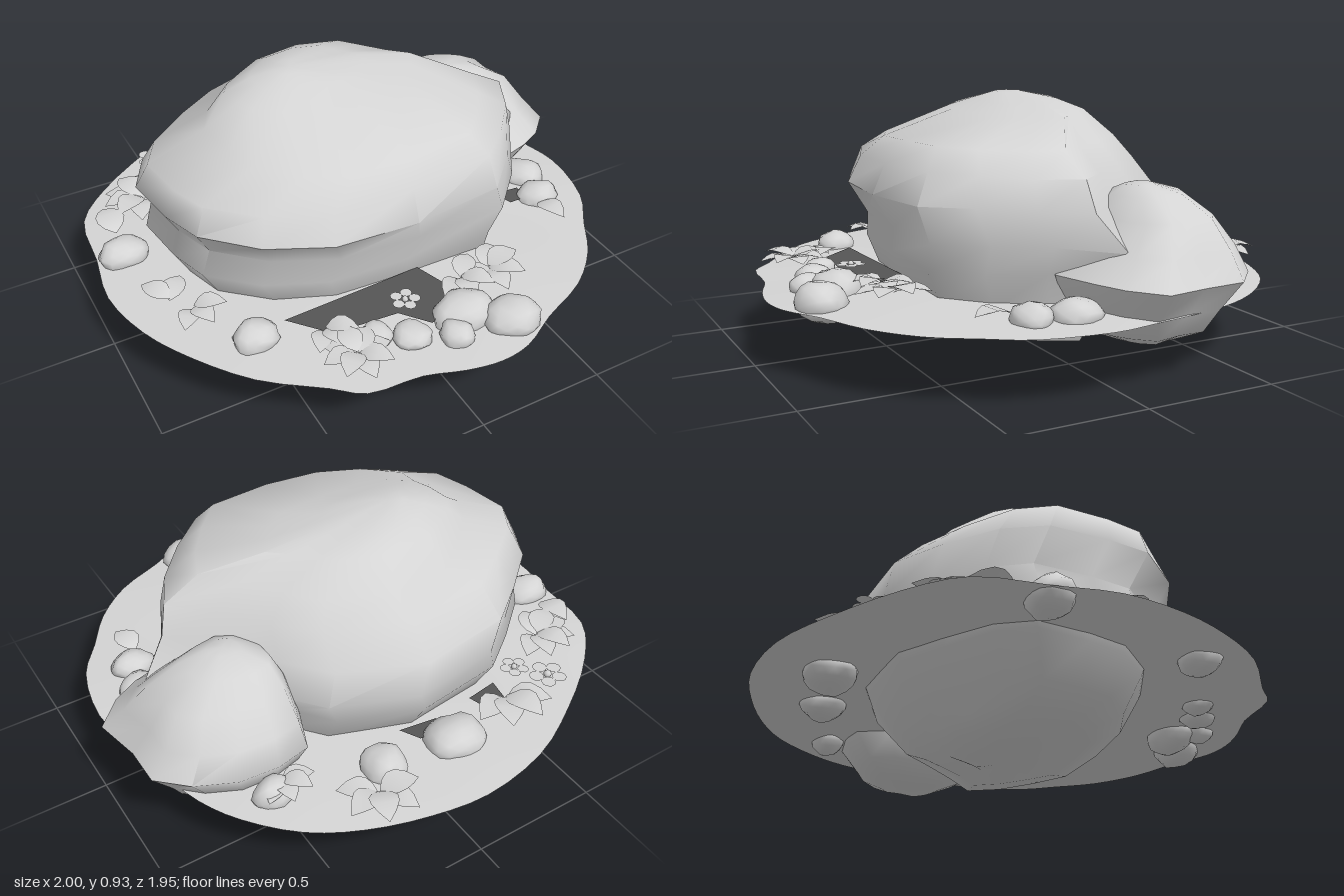
import * as THREE from 'three';
import { mergeVertices, toCreasedNormals } from 'three/addons/utils/BufferGeometryUtils.js';

const stone = new THREE.MeshStandardMaterial({ color: 0xd4d4d4, name: 'pale stone' });
const sheet = new THREE.MeshStandardMaterial({ color: 0xd4d4d4, name: 'pale sheet', side: THREE.DoubleSide });
const soil = new THREE.MeshStandardMaterial({ color: 0x555555, name: 'dark soil', side: THREE.DoubleSide });

// Repeatable unevenness from a position
const bump = (x, y, z) => Math.sin(x * 5.1 + y * 7.3 + 1) * Math.cos(z * 6.2 - y * 4.1);

// Closed curve through plan points
function smoothOutline(points, count) {
  const curve = new THREE.CatmullRomCurve3(points.map(([x, z]) => new THREE.Vector3(x, 0, z)), true);
  return curve.getPoints(count).slice(0, -1).map(p => [p.x, p.z]);
}

// Stack a plan outline through levels of [y, xMin, xMax, zMin, zMax]; shape adjusts single points
function loft(outline, levels, { rough, crease, bottom = true, shape = p => p }) {
  const box = new THREE.Box2().setFromPoints(outline.map(p => new THREE.Vector2(...p)));
  const n = outline.length, pos = [], idx = [];
  for (const [y, x0, x1, z0, z1] of levels) {
    for (const [px, pz] of outline) {
      const u = (px - box.min.x) / (box.max.x - box.min.x);
      const v = (pz - box.min.y) / (box.max.y - box.min.y);
      const x = x0 + u * (x1 - x0), z = z0 + v * (z1 - z0);
      pos.push(...shape([x, y + rough * bump(x, y, z), z]));
    }
  }
  for (let i = 0; i < levels.length - 1; i++) {
    for (let j = 0; j < n; j++) {
      const a = i * n + j, b = i * n + (j + 1) % n;
      idx.push(a, a + n, b, b, a + n, b + n);
    }
  }
  const cap = (row, up) => {
    const [y, x0, x1, z0, z1] = levels[row], c = pos.length / 3;
    pos.push((x0 + x1) / 2, y, (z0 + z1) / 2);
    for (let j = 0; j < n; j++) {
      const a = row * n + j, b = row * n + (j + 1) % n;
      idx.push(c, up ? b : a, up ? a : b);
    }
  };
  if (bottom) cap(0, false);
  cap(levels.length - 1, true);
  const g = new THREE.BufferGeometry();
  g.setAttribute('position', new THREE.Float32BufferAttribute(pos, 3));
  g.setIndex(idx);
  return toCreasedNormals(g, crease);
}

// Rounded, slightly lumpy pebble of unit size
function pebbleGeometry(seed) {
  let g = new THREE.IcosahedronGeometry(1, 2);
  g.deleteAttribute('normal');
  g.deleteAttribute('uv');
  g = mergeVertices(g);
  const p = g.attributes.position, v = new THREE.Vector3();
  for (let i = 0; i < p.count; i++) {
    v.fromBufferAttribute(p, i);
    v.multiplyScalar(1 + 0.1 * bump(v.x * 0.6 + seed, v.y * 0.6, v.z * 0.6 + seed));
    p.setXYZ(i, v.x, v.y, v.z);
  }
  g.computeVertexNormals();
  return g;
}

// Pointed leaf lying flat, growing toward +x, folded along its midrib
function leafGeometry() {
  const s = new THREE.Shape();
  s.moveTo(0, 0);
  s.bezierCurveTo(0.25, 0.5, 0.6, 0.42, 1, 0);
  s.bezierCurveTo(0.6, -0.42, 0.25, -0.5, 0, 0);
  const g = new THREE.ShapeGeometry(s, 5).rotateX(-Math.PI / 2);
  const p = g.attributes.position;
  for (let i = 0; i < p.count; i++) p.setY(i, Math.abs(p.getZ(i)) * 0.2 + 0.12 * Math.sin(p.getX(i) * 3));
  g.computeVertexNormals();
  return g;
}

// Main boulder: fuller at the front left foot, with a short spur on the left
function shapeBoulder([x, y, z]) {
  const spur = x > 0.69 && y > 0.42 && y < 0.52;
  const foot = x > 0.25 && z > 0.15 && y > 0.2 && y < 0.52;
  if (spur) return [x + 0.08, y, z - 0.02];
  return foot ? [x * 1.04, y, z * 1.08] : [x, y, z];
}

export function createModel() {
  const model = new THREE.Group();
  const add = (name, geometry, material, parent = model) => {
    const m = new THREE.Mesh(geometry, material);
    m.name = name;
    parent.add(m);
    return m;
  };

  add('mainBoulder', loft([
    [-0.8, -0.15], [-0.72, -0.3], [-0.55, -0.45], [-0.38, -0.58], [-0.02, -0.63], [0.3, -0.51], [0.43, -0.34],
    [0.57, -0.15], [0.71, 0.01], [0.63, 0.19], [0.5, 0.36], [0.35, 0.51], [0, 0.54], [-0.32, 0.52],
    [-0.55, 0.42], [-0.72, 0.25], [-0.77, 0.08]], [
    [0.005, -0.16, 0, -0.2, -0.08], [0.03, -0.36, 0.1, -0.28, 0.08], [0.075, -0.48, 0.38, -0.35, 0.25],
    [0.13, -0.59, 0.6, -0.41, 0.37], [0.25, -0.7, 0.67, -0.55, 0.43], [0.37, -0.77, 0.68, -0.61, 0.47],
    [0.47, -0.74, 0.73, -0.63, 0.48], [0.59, -0.8, 0.7, -0.61, 0.54], [0.7, -0.76, 0.67, -0.5, 0.49],
    [0.78, -0.54, 0.53, -0.43, 0.43], [0.87, -0.43, 0.32, -0.33, 0.13], [0.905, -0.33, 0.12, -0.26, 0.03],
    [0.93, -0.24, -0.12, -0.16, -0.06]], { rough: 0.01, crease: 0.9, shape: shapeBoulder }), stone);

  // Smaller boulder at the back left
  add('sideBoulder', loft([
    [0.38, -0.4], [0.44, -0.55], [0.57, -0.58], [0.72, -0.57], [0.86, -0.5], [0.96, -0.4], [0.96, -0.25],
    [1, -0.08], [0.9, 0.02], [0.8, 0.07], [0.62, 0.12], [0.45, 0.04], [0.38, -0.2]], [
    [0.13, 0.56, 0.78, -0.36, -0.1], [0.17, 0.45, 0.86, -0.45, 0], [0.26, 0.4, 0.91, -0.52, 0.08],
    [0.37, 0.38, 1, -0.58, 0.13], [0.46, 0.4, 0.93, -0.54, 0.04], [0.56, 0.42, 0.86, -0.46, -0.06],
    [0.63, 0.45, 0.74, -0.38, -0.12], [0.66, 0.53, 0.64, -0.28, -0.18]], { rough: 0.012, crease: 1.1 }), stone);

  // Thin ground sheet with a gently raised middle
  const rim = smoothOutline([
    [-0.02, -0.98], [0.2, -0.95], [0.42, -0.88], [0.6, -0.78], [0.75, -0.62], [0.83, -0.47], [0.88, -0.28],
    [0.92, -0.08], [0.95, 0.1], [0.9, 0.35], [0.8, 0.5], [0.7, 0.65], [0.55, 0.78], [0.35, 0.87], [0.2, 0.95],
    [0.08, 0.97], [-0.05, 0.95], [-0.2, 0.9], [-0.4, 0.88], [-0.5, 0.8], [-0.7, 0.65], [-0.85, 0.45],
    [-0.95, 0.25], [-1, 0.02], [-0.97, -0.2], [-0.94, -0.45], [-0.8, -0.62], [-0.55, -0.8], [-0.3, -0.93]], 87);
  add('groundSheet', loft(rim, [
    [0.255, -1, 0.95, -0.98, 0.97], [0.27, -0.75, 0.71, -0.74, 0.73]],
  { rough: 0.004, crease: 1, bottom: false }), sheet);

  // Bare soil showing around the boulder's foot
  [
    [[-0.5, 0.46], [-0.38, 0.6], [-0.13, 0.62], [-0.05, 0.72], [0.03, 0.7], [0.1, 0.56], [0.06, 0.44]],
    [[0.57, 0.2], [0.6, 0.28], [0.67, 0.28], [0.68, 0.21]],
    [[-0.38, -0.56], [-0.36, -0.67], [-0.28, -0.69], [-0.25, -0.58]],
    [[-0.08, -0.6], [-0.06, -0.655], [0.03, -0.655], [0.07, -0.58]],
  ].forEach(points => {
    const patch = new THREE.Shape(points.map(([x, z]) => new THREE.Vector2(x, -z)));
    add('soilPatch', new THREE.ShapeGeometry(patch).rotateX(-Math.PI / 2), soil).position.y = 0.281;
  });

  // Pebbles: x, z, half width, half height, half depth
  [[-0.08, -0.71, 0.12, 0.07, 0.1], [0.21, -0.68, 0.085, 0.065, 0.09], [-0.87, -0.17, 0.1, 0.065, 0.08],
    [-0.62, 0.48, 0.085, 0.06, 0.075], [-0.25, 0.67, 0.06, 0.04, 0.06], [-0.14, 0.73, 0.07, 0.045, 0.07],
    [0, 0.8, 0.06, 0.05, 0.065], [0.08, 0.72, 0.12, 0.075, 0.09], [0.22, 0.82, 0.105, 0.075, 0.09],
    [0.76, 0.13, 0.085, 0.06, 0.09], [0.73, 0.28, 0.085, 0.055, 0.07], [0.6, -0.59, 0.08, 0.06, 0.06],
  ].forEach(([x, z, w, h, d], i) => {
    const m = add('pebble', pebbleGeometry(i * 1.7), stone);
    m.position.set(x, 0.272, z);
    m.scale.set(w, h, d);
  });

  // Leaf sprigs: x, z, leaf count, first direction, spread, leaf length
  const leaf = leafGeometry();
  [[-0.36, -0.66, 4, 0.3, 2.2, 0.17], [0.31, -0.8, 5, -0.6, 3.6, 0.15], [-0.7, -0.44, 7, 0.6, 3.8, 0.15],
    [-0.86, -0.28, 1, 1.57, 0, 0.16], [-0.82, 0.18, 2, 0.9, 1.2, 0.13], [-0.76, 0.26, 3, -2.2, 1.8, 0.12],
    [-0.36, 0.74, 8, 0, 5.5, 0.13], [-0.4, 0.58, 3, -2.2, 1.6, 0.12], [0.16, 0.58, 5, -2.6, 3.4, 0.13],
    [0.28, 0.58, 4, -1.6, 2.6, 0.14], [0.69, 0.34, 1, -1.4, 0, 0.14], [0.56, -0.57, 4, 0.7, 2.2, 0.12],
  ].forEach(([x, z, n, a, spread, size]) => {
    const sprig = new THREE.Group();
    sprig.name = 'leafSprig';
    sprig.position.set(x, 0.288, z);
    for (let i = 0; i < n; i++) {
      const m = add('leaf', leaf, sheet, sprig);
      m.rotation.set(0, a + (n > 1 ? spread * i / (n - 1) : 0), 0.05);
      m.position.y = (i % 3) * 0.008;
      m.scale.setScalar(size);
    }
    model.add(sprig);
  });

  // Five-petal flowers
  for (const [x, z, r] of [[-0.56, -0.66, 0.045], [-0.48, -0.56, 0.035], [-0.09, 0.6, 0.035]]) {
    const flower = new THREE.Group();
    flower.name = 'flower';
    flower.position.set(x, 0.315, z);
    for (let i = 0; i < 5; i++) {
      const a = i * Math.PI * 0.4 + 0.3;
      const petal = add('petal', new THREE.CircleGeometry(r * 0.62, 10).rotateX(-Math.PI / 2), sheet, flower);
      petal.position.set(Math.cos(a) * r, 0, Math.sin(a) * r);
    }
    add('flowerCentre', new THREE.SphereGeometry(r * 0.35, 8, 6), stone, flower);
    model.add(flower);
  }
  return model;
}
